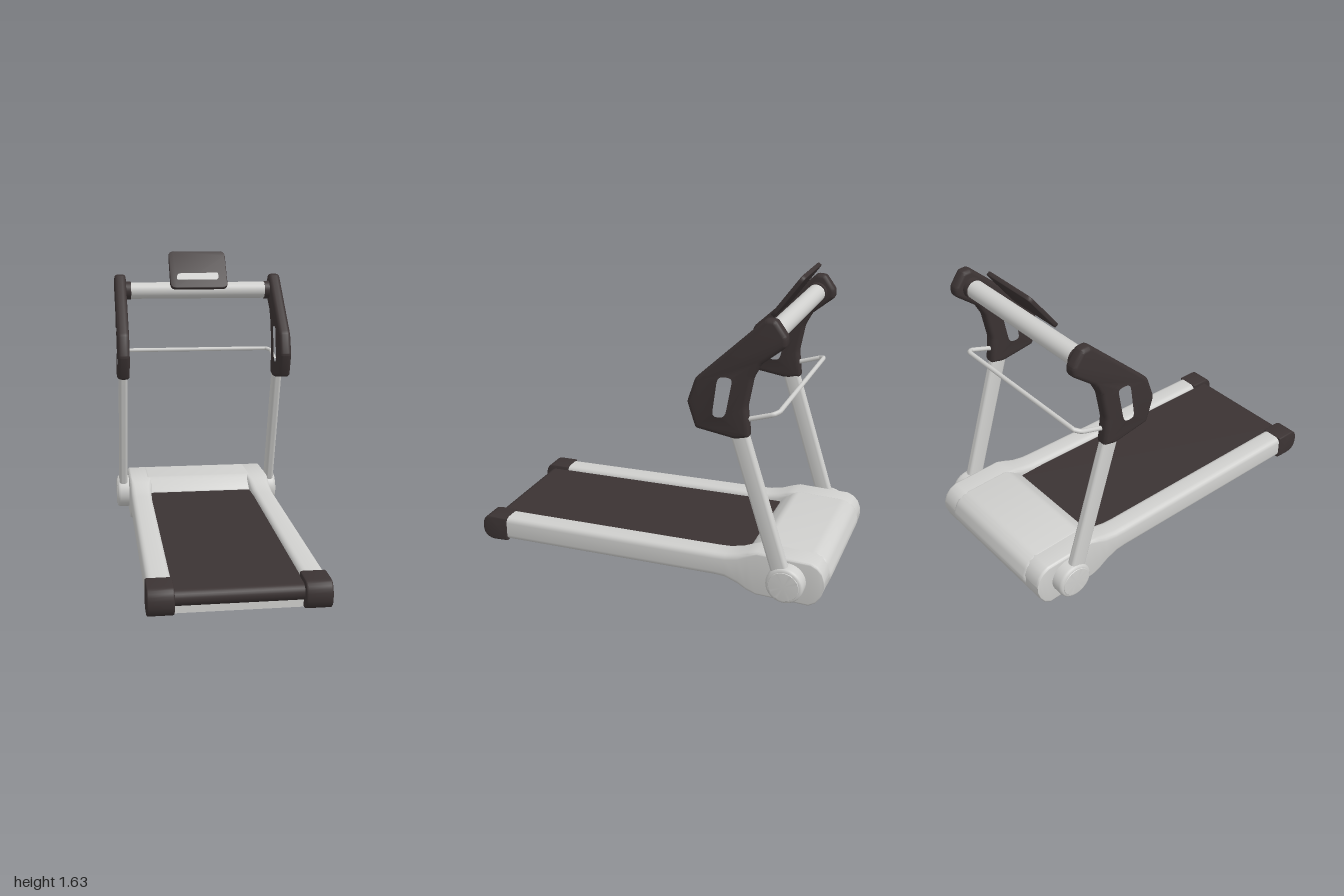
import * as THREE from 'three';
import { toCreasedNormals } from 'three/addons/utils/BufferGeometryUtils.js';

const light = new THREE.MeshStandardMaterial({ color: 0xcfcfcd });
light.name = 'light grey';
const dark = new THREE.MeshStandardMaterial({ color: 0x3b3333 });
dark.name = 'dark brown grey';

export function createModel() {
  const model = new THREE.Group();
  model.name = 'treadmill';

  const add = (name, geometry, material) => {
    const mesh = new THREE.Mesh(geometry, material);
    mesh.name = name;
    model.add(mesh);
    return mesh;
  };

  // Polygon with every corner rounded by r
  const rounded = (pts, r, Type = THREE.Shape) => {
    const v = pts.map((p) => new THREE.Vector2(p[0], p[1]));
    const path = new Type();
    v.forEach((p, i) => {
      const before = v[(i + v.length - 1) % v.length];
      const after = v[(i + 1) % v.length];
      const toward = (q) => p.clone().lerp(q, Math.min(0.48, r / p.distanceTo(q)));
      const a = toward(before), b = toward(after);
      if (i === 0) path.moveTo(a.x, a.y); else path.lineTo(a.x, a.y);
      path.quadraticCurveTo(p.x, p.y, b.x, b.y);
    });
    path.closePath();
    return path;
  };
  const rect = (w, h) => [[-w, -h], [w, -h], [w, h], [-w, h]];

  // Extrusion whose bevel stays inside the drawn outline
  const extrude = (shape, depth, bevel) => new THREE.ExtrudeGeometry(shape, {
    depth: depth - 2 * bevel, bevelEnabled: bevel > 0, bevelThickness: bevel,
    bevelSize: bevel, bevelOffset: -bevel, bevelSegments: 3, curveSegments: 6,
  });

  // Side profile drawn in (z, y), extruded across x from x0 to x1
  const extrudeX = (shape, x0, x1, bevel = 0) => toCreasedNormals(
    extrude(shape, x1 - x0, bevel).rotateY(-Math.PI / 2).translate(x1 - bevel, 0, 0), 0.6);

  // Rounded-rectangle sections [z, bottom, top, inner x, radius] joined from front to back
  const railLoft = (sections, side) => {
    const positions = [], index = [], n = 20, xo = 0.43;
    sections.forEach(([z, y0, y1, xi, r]) => {
      const cx = side * (xi + xo) / 2, cy = (y0 + y1) / 2;
      const w = (xo - xi) / 2 - r, h = (y1 - y0) / 2 - r;
      for (let c = 0; c < 4; c++) for (let k = 0; k < 5; k++) {
        const a = (c + k / 4) * Math.PI / 2;
        const sx = c === 0 || c === 3 ? 1 : -1, sy = c < 2 ? 1 : -1;
        positions.push(cx + sx * w + r * Math.cos(a), cy + sy * h + r * Math.sin(a), z);
      }
    });
    for (let i = 0; i < sections.length - 1; i++) for (let j = 0; j < n; j++) {
      const a = i * n + j, b = i * n + (j + 1) % n, c = a + n, d = b + n;
      index.push(a, c, b, b, c, d);
    }
    const last = (sections.length - 1) * n;
    for (let j = 1; j < n - 1; j++) index.push(last, last + j + 1, last + j);
    const g = new THREE.BufferGeometry();
    g.setAttribute('position', new THREE.Float32BufferAttribute(positions, 3));
    g.setIndex(index);
    return toCreasedNormals(g, 0.7);
  };

  // Side rails, flaring into the sides of the motor housing
  const rail = [
    [0.86, 0.01, 0.145, 0.308, 0.03], [-0.40, 0.062, 0.196, 0.308, 0.03],
    [-0.46, 0.06, 0.2, 0.306, 0.03], [-0.53, 0.035, 0.216, 0.304, 0.03],
    [-0.58, 0.01, 0.236, 0.3, 0.025], [-0.63, 0, 0.25, 0.295, 0.015],
    [-0.91, 0, 0.25, 0.295, 0.015], [-0.945, 0.025, 0.234, 0.295, 0.015],
    [-0.97, 0.065, 0.207, 0.295, 0.015], [-0.985, 0.11, 0.167, 0.295, 0.015],
  ];

  // Motor housing between the rails, with a recessed underside
  const hood = rounded([
    [-0.535, 0.165], [-0.57, 0.205], [-0.63, 0.252], [-0.915, 0.252], [-0.97, 0.22], [-1, 0.14],
    [-0.97, 0.06], [-0.91, 0.003], [-0.82, 0.003], [-0.58, 0.142],
  ], 0.025);
  add('motorHousing', extrudeX(hood, -0.335, 0.335, 0.025), light);

  // Light panel below the rear end of the belt, with a dark gap behind it
  add('rearPanel', new THREE.BoxGeometry(0.62, 0.03, 0.16), light).position.set(0, 0.149, -0.49);
  add('panelGap', new THREE.BoxGeometry(0.58, 0.006, 0.012), dark).position.set(0, 0.136, -0.572);

  // Belt deck, front roller and the low plate under it
  const deck = new THREE.Shape();
  [[0.93, 0.085], [0.93, 0.12], [-0.6, 0.178], [-0.6, 0.145]].forEach(([z, y], i) =>
    (i ? deck.lineTo(z, y) : deck.moveTo(z, y)));
  add('runningBelt', extrudeX(deck, -0.31, 0.31), dark);
  const roller = new THREE.CylinderGeometry(0.04, 0.04, 0.62, 28).rotateZ(Math.PI / 2);
  add('frontRoller', roller, dark).position.set(0, 0.08, 0.93);
  add('frontPlate', new THREE.BoxGeometry(0.62, 0.038, 0.012), light).position.set(0, 0.023, 0.93);

  // Profiles shared by both sides
  const cap = new THREE.Shape();
  cap.moveTo(0.845, 0.006);
  cap.lineTo(0.93, 0);
  cap.bezierCurveTo(0.98, 0, 1, 0.03, 1, 0.07);
  cap.bezierCurveTo(1, 0.11, 0.985, 0.142, 0.95, 0.143);
  cap.lineTo(0.845, 0.147);
  cap.closePath();

  const handle = rounded([
    [-0.27, 1.045], [-0.315, 0.912], [-0.52, 0.884], [-0.59, 0.903], [-0.572, 1.05],
    [-0.598, 1.2], [-0.636, 1.275], [-0.756, 1.375], [-0.756, 1.42], [-0.7, 1.495],
    [-0.652, 1.497], [-0.31, 1.168],
  ], 0.014);
  handle.holes.push(rounded(
    [[-0.38, 0.967], [-0.485, 0.967], [-0.527, 1.215], [-0.41, 1.215]], 0.055, THREE.Path));

  const pivotProfile = [
    [0.098, 0.42], [0.098, 0.482], [0.095, 0.494], [0.088, 0.5], [0.08, 0.501],
    [0.078, 0.504], [0, 0.504],
  ].map((p) => new THREE.Vector2(p[0], p[1]));

  for (const side of [1, -1]) {
    const label = side > 0 ? 'left' : 'right';
    const across = (shape, a, b, bevel) =>
      side > 0 ? extrudeX(shape, a, b, bevel) : extrudeX(shape, -b, -a, bevel);

    add(label + 'Rail', railLoft(rail, side), light);
    add(label + 'EndCap', across(cap, 0.306, 0.435, 0.008), dark);
    add(label + 'Handle', across(handle, 0.434, 0.501, 0.02), dark);

    // Round pivot cover on the housing side
    const pivot = toCreasedNormals(new THREE.LatheGeometry(pivotProfile, 40), 0.8);
    pivot.rotateZ(-side * Math.PI / 2).translate(0, 0.13, -0.795);
    add(label + 'Pivot', pivot, light);

    // Leaning flat upright with rounded edges
    const bottom = new THREE.Vector3(side * 0.464, 0.13, -0.787);
    const top = new THREE.Vector3(side * 0.464, 0.93, -0.527);
    const post = extrude(rounded(rect(0.026, 0.046), 0.025), bottom.distanceTo(top), 0);
    const upright = add(label + 'Upright', toCreasedNormals(post.rotateX(-Math.PI / 2), 0.6), light);
    upright.position.copy(bottom);
    upright.rotation.x = Math.atan2(top.z - bottom.z, top.y - bottom.y);

    // Collar where the crossbar meets the handle
    const collar = new THREE.CylinderGeometry(0.054, 0.054, 0.035, 32).rotateZ(Math.PI / 2);
    add(label + 'Collar', collar, dark).position.set(side * 0.422, 1.4, -0.662);
  }

  // Crossbar
  const bar = new THREE.CylinderGeometry(0.049, 0.049, 0.86, 32).rotateZ(Math.PI / 2);
  add('crossbar', bar, light).position.set(0, 1.4, -0.662);

  // Thin bent rod behind the handles
  const rodPath = new THREE.CurvePath();
  const rod = [[-0.46, 0.98, -0.56], [-0.46, 1.025, -0.695], [-0.435, 1.034, -0.72],
    [0.435, 1.034, -0.72], [0.46, 1.025, -0.695], [0.46, 0.98, -0.56]]
    .map((p) => new THREE.Vector3(...p));
  for (let i = 0; i < rod.length - 1; i++) rodPath.add(new THREE.LineCurve3(rod[i], rod[i + 1]));
  add('rearRod', new THREE.TubeGeometry(rodPath, 90, 0.012, 10), light);

  // Tilted console with a light display strip
  const consoleGroup = new THREE.Group();
  consoleGroup.name = 'console';
  const panelShape = rounded(rect(0.172, 0.131), 0.035);
  const panel = new THREE.Mesh(
    toCreasedNormals(extrude(panelShape, 0.022, 0.004).translate(0, 0, -0.018), 0.6), dark);
  panel.name = 'consolePanel';
  const stripShape = rounded([
    [-0.13, -0.075], [0.112, -0.075], [0.122, -0.058], [0.118, -0.026], [-0.118, -0.03], [-0.13, -0.046],
  ], 0.008);
  const strip = new THREE.Mesh(extrude(stripShape, 0.004, 0).translate(0, 0, -0.002), light);
  strip.name = 'displayStrip';
  consoleGroup.add(panel, strip);
  consoleGroup.position.set(0, 1.526, -0.651);
  consoleGroup.rotation.x = -0.625;
  model.add(consoleGroup);

  return model;
}
